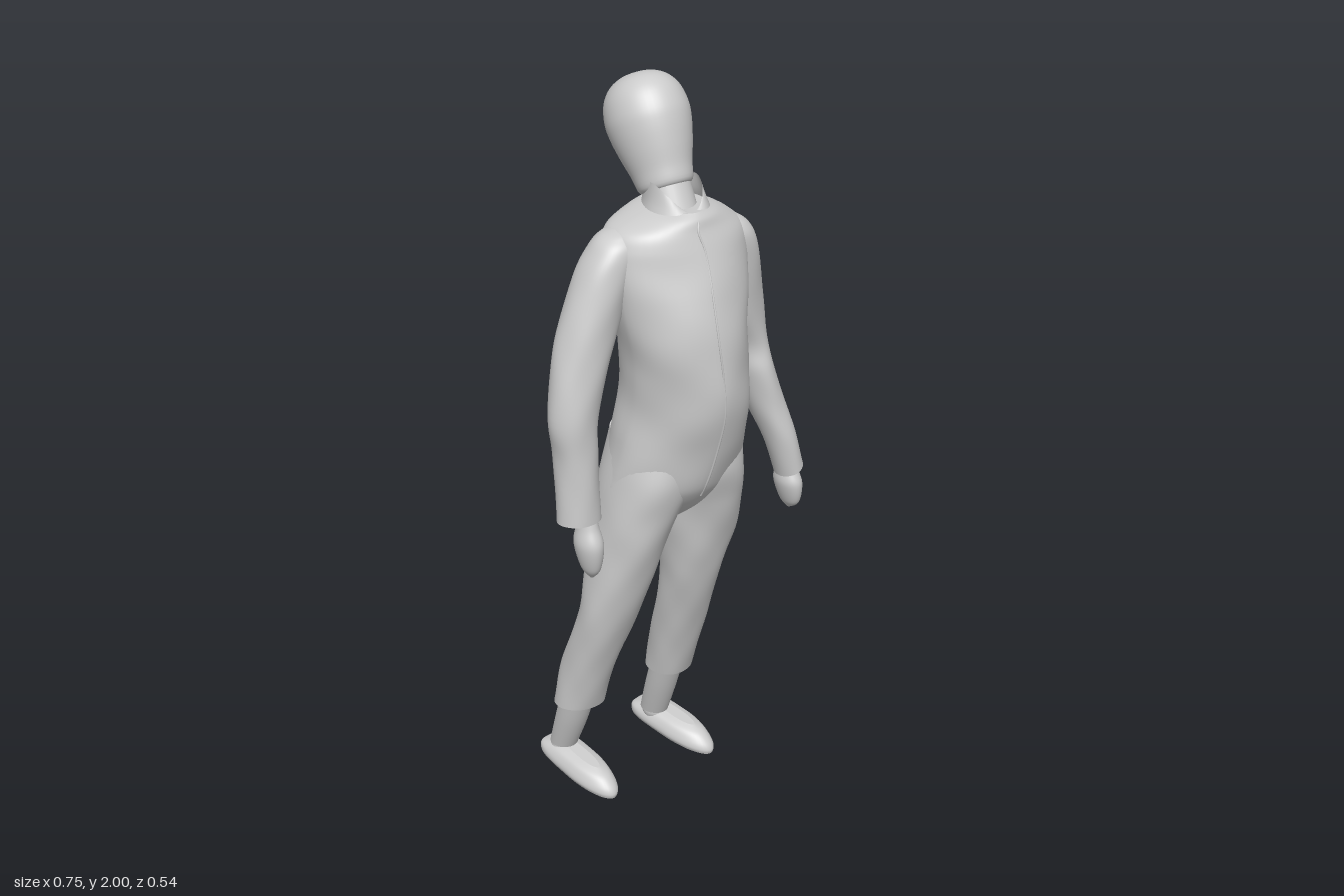
import * as THREE from 'three';

const grey = new THREE.MeshStandardMaterial({ color: 0xcccccc, side: THREE.DoubleSide });

// Superellipse exponent helper
const bow = (v, p) => Math.sign(v) * Math.abs(v) ** (2 / p);

// Smooth loft through horizontal rings; each section is [y, xMin, xMax, zBack, zFront], bottom to top.
function loft(name, sections, { front = 2, back = 2, folds = 0, seed = 0, steps = 8, caps = true, lift } = {}) {
  const N = 48, rows = (sections.length - 1) * steps;
  const tracks = [1, 2, 3, 4].map(k =>
    new THREE.SplineCurve(sections.map(s => new THREE.Vector2(s[0], s[k]))).getPoints(rows));
  const pos = [], idx = [];
  for (let j = 0; j <= rows; j++) {
    const [x0, x1, z0, z1] = tracks.map(t => t[j].y), y = tracks[0][j].x;
    for (let i = 0; i < N; i++) {
      const a = i / N * Math.PI * 2, s = Math.sin(a), c = Math.cos(a), p = c > 0 ? front : back;
      // slanting cloth folds
      const w = 1 + folds * (Math.sin(3 * a + 16 * y + seed) + 0.7 * Math.sin(5 * a - 25 * y + 2 * seed)
        + 0.5 * Math.sin(4 * a + 40 * y + seed));
      pos.push((x0 + x1) / 2 + bow(s, p) * (x1 - x0) / 2 * w,
        y + (lift ? lift(a, j / rows) : 0),
        (z0 + z1) / 2 + bow(c, p) * (z1 - z0) / 2 * w);
      if (j < rows) {
        const b = j * N + i, d = j * N + (i + 1) % N;
        idx.push(b, d, d + N, b, d + N, b + N);
      }
    }
  }
  // flat ends with their own vertices, so the rims stay crisp
  if (caps) for (const j of [0, rows]) {
    const base = pos.length / 3, mid = [0, 0, 0];
    for (let i = 0; i < N; i++) for (let k = 0; k < 3; k++) {
      const v = pos[(j * N + i) * 3 + k];
      pos.push(v);
      mid[k] += v / N;
    }
    pos.push(...mid);
    for (let i = 0; i < N; i++) {
      const b = base + i, d = base + (i + 1) % N;
      j ? idx.push(b, d, base + N) : idx.push(d, b, base + N);
    }
  }
  const g = new THREE.BufferGeometry();
  g.setAttribute('position', new THREE.Float32BufferAttribute(pos, 3));
  g.setIndex(idx);
  g.computeVertexNormals();
  return named(g, name);
}

function named(geometry, name) {
  const m = new THREE.Mesh(geometry, grey);
  m.name = name;
  return m;
}

// Thin raised stitch line
function seam(name, points) {
  const curve = new THREE.CatmullRomCurve3(points.map(p => new THREE.Vector3(...p)));
  return named(new THREE.TubeGeometry(curve, 48, 0.003, 6), name);
}

// Flat-soled, square-heeled shoe shape, pitched toe-down and turned by yaw
function foot(name, x, z, yaw) {
  const f = loft(name, [
    [0, -0.05, 0.05, -0.143, 0.14], [0.012, -0.055, 0.055, -0.144, 0.14],
    [0.028, -0.052, 0.052, -0.142, 0.128], [0.046, -0.04, 0.04, -0.1, 0.1],
    [0.056, -0.018, 0.018, -0.06, 0.065],
  ], { back: 4, steps: 5 });
  f.rotation.set(0.16, yaw, 0, 'YXZ');
  f.position.set(x, 0.024, z);
  return f;
}

function ball(name, x, y, z, r) {
  const b = named(new THREE.SphereGeometry(r, 24, 16), name);
  b.position.set(x, y, z);
  return b;
}

export function createModel() {
  const model = new THREE.Group();
  model.name = 'mannequin';

  // Egg-shaped head, leaning back from the neck
  const outline = [[0, 0], [0.05, 0], [0.067, 0.01], [0.076, 0.05], [0.09, 0.1], [0.101, 0.15], [0.104, 0.19],
    [0.095, 0.235], [0.073, 0.268], [0.04, 0.287], [0, 0.293]].map(p => new THREE.Vector2(...p));
  const rounded = new THREE.SplineCurve(outline.slice(1)).getPoints(40);
  rounded.forEach(p => { p.x = Math.max(p.x, 0); });
  const head = named(new THREE.LatheGeometry([outline[0], ...rounded], 48), 'head');
  head.position.set(-0.012, 1.725, 0.04);
  head.rotation.x = -0.48;
  head.scale.z = 1.08;
  const neck = named(new THREE.CylinderGeometry(0.056, 0.062, 0.14, 32), 'neck');
  neck.position.set(-0.012, 1.68, 0.068);
  neck.rotation.x = -0.4;
  model.add(head, neck);

  // Overall body: keel-shaped chest, flatter back, sloping shoulders
  const body = [
    [0.85, -0.07, 0.035, -0.02, 0.09], [0.9, -0.15, 0.12, -0.07, 0.15], [0.95, -0.195, 0.175, -0.082, 0.19],
    [1.0, -0.193, 0.18, -0.085, 0.215],
    [1.1, -0.175, 0.18, -0.08, 0.245], [1.2, -0.16, 0.17, -0.065, 0.27], [1.3, -0.165, 0.16, -0.045, 0.272],
    [1.4, -0.18, 0.155, -0.035, 0.265], [1.5, -0.195, 0.17, -0.03, 0.24], [1.58, -0.205, 0.185, -0.04, 0.213],
    [1.625, -0.205, 0.18, -0.045, 0.198], [1.66, -0.185, 0.145, -0.045, 0.185], [1.685, -0.13, 0.105, -0.04, 0.176],
    [1.7, -0.08, 0.068, -0.03, 0.16],
  ];
  model.add(loft('overallBody', body, { front: 1.8, back: 2.3, folds: 0.009, seed: 1 }));
  const rows = body.slice(2, -1);
  model.add(seam('frontSeam', rows.map(s => [(s[1] + s[2]) / 2, s[0], s[4]])));
  model.add(seam('backSeam', rows.map(s => [(s[1] + s[2]) / 2, s[0], s[3]])));

  // Standing collar, high at the sides, low at the front and back
  model.add(loft('collar', [
    [1.665, -0.1, 0.085, -0.04, 0.18], [1.71, -0.082, 0.064, -0.03, 0.166], [1.75, -0.075, 0.055, -0.02, 0.145],
  ], { caps: false, folds: 0.012, seed: 3,
    lift: (a, t) => t * (0.012 * Math.abs(Math.sin(a)) - 0.055 * Math.max(0, Math.cos(a)) ** 2 - 0.045 * Math.max(0, -Math.cos(a))) }));

  // Trouser legs, running up inside the body
  model.add(loft('rightTrouser', [
    [0.27, -0.28, -0.14, -0.15, -0.025], [0.4, -0.27, -0.13, -0.125, 0.018], [0.6, -0.255, -0.09, -0.058, 0.09],
    [0.8, -0.23, -0.04, -0.07, 0.15], [0.9, -0.213, -0.008, -0.08, 0.176], [1.0, -0.192, 0.03, -0.08, 0.2],
    [1.1, -0.165, 0.02, -0.065, 0.19],
  ], { front: 2.1, back: 2.2, folds: 0.012, seed: 2 }));
  model.add(loft('leftTrouser', [
    [0.28, 0.02, 0.145, -0.15, -0.025], [0.4, 0.015, 0.148, -0.125, 0.018], [0.6, 0, 0.152, -0.058, 0.09],
    [0.7, -0.01, 0.165, -0.055, 0.122], [0.8, -0.022, 0.188, -0.07, 0.15], [0.9, -0.032, 0.19, -0.08, 0.176],
    [1.0, -0.05, 0.178, -0.08, 0.2], [1.1, -0.03, 0.165, -0.065, 0.19],
  ], { front: 2.1, back: 2.2, folds: 0.012, seed: 5 }));

  // Shins, ankles and feet
  model.add(loft('rightShin', [[0.09, -0.25, -0.175, -0.21, -0.13], [0.2, -0.255, -0.165, -0.172, -0.08], [0.33, -0.256, -0.16, -0.125, -0.035]]));
  model.add(loft('leftShin', [[0.09, 0.055, 0.13, -0.215, -0.13], [0.2, 0.045, 0.13, -0.175, -0.083], [0.33, 0.038, 0.13, -0.125, -0.035]]));
  model.add(ball('rightAnkle', -0.21, 0.08, -0.175, 0.037), ball('leftAnkle', 0.1, 0.08, -0.18, 0.037));
  model.add(foot('rightFoot', -0.2, -0.1, 0.13), foot('leftFoot', 0.13, -0.125, 0.24));

  // Sleeves, rounded over into the shoulders
  model.add(loft('rightSleeve', [
    [0.93, -0.37, -0.255, 0.04, 0.14], [1.1, -0.37, -0.255, 0.025, 0.135], [1.22, -0.38, -0.25, 0.015, 0.135],
    [1.4, -0.345, -0.19, -0.005, 0.13], [1.55, -0.288, -0.14, -0.01, 0.13], [1.62, -0.245, -0.12, -0.005, 0.125],
    [1.65, -0.215, -0.12, 0.01, 0.105], [1.663, -0.18, -0.13, 0.03, 0.085],
  ], { folds: 0.012, seed: 4 }));
  model.add(loft('leftSleeve', [
    [0.9, 0.3, 0.37, 0.06, 0.15], [1.0, 0.268, 0.35, 0.045, 0.145], [1.1, 0.23, 0.325, 0, 0.13],
    [1.2, 0.2, 0.298, -0.02, 0.12], [1.28, 0.185, 0.285, -0.02, 0.105], [1.4, 0.125, 0.26, 0, 0.12],
    [1.52, 0.1, 0.232, 0.01, 0.14], [1.59, 0.09, 0.212, 0.015, 0.145], [1.625, 0.09, 0.19, 0.025, 0.135],
    [1.645, 0.1, 0.16, 0.045, 0.115],
  ], { folds: 0.012, seed: 6, lift: (a, t) => (1 - t) ** 6 * 0.015 * Math.sin(a) }));

  // Mitten hands
  model.add(loft('rightHand', [
    [0.765, -0.294, -0.286, 0.105, 0.115], [0.795, -0.315, -0.268, 0.078, 0.14], [0.86, -0.33, -0.26, 0.06, 0.152],
    [0.91, -0.322, -0.268, 0.068, 0.135], [0.95, -0.315, -0.275, 0.07, 0.125],
  ]));
  model.add(loft('leftHand', [
    [0.78, 0.336, 0.344, 0.1, 0.11], [0.805, 0.317, 0.36, 0.075, 0.143], [0.86, 0.3, 0.365, 0.06, 0.155],
    [0.9, 0.302, 0.355, 0.07, 0.14], [0.94, 0.3, 0.345, 0.075, 0.13],
  ]));

  return model;
}
